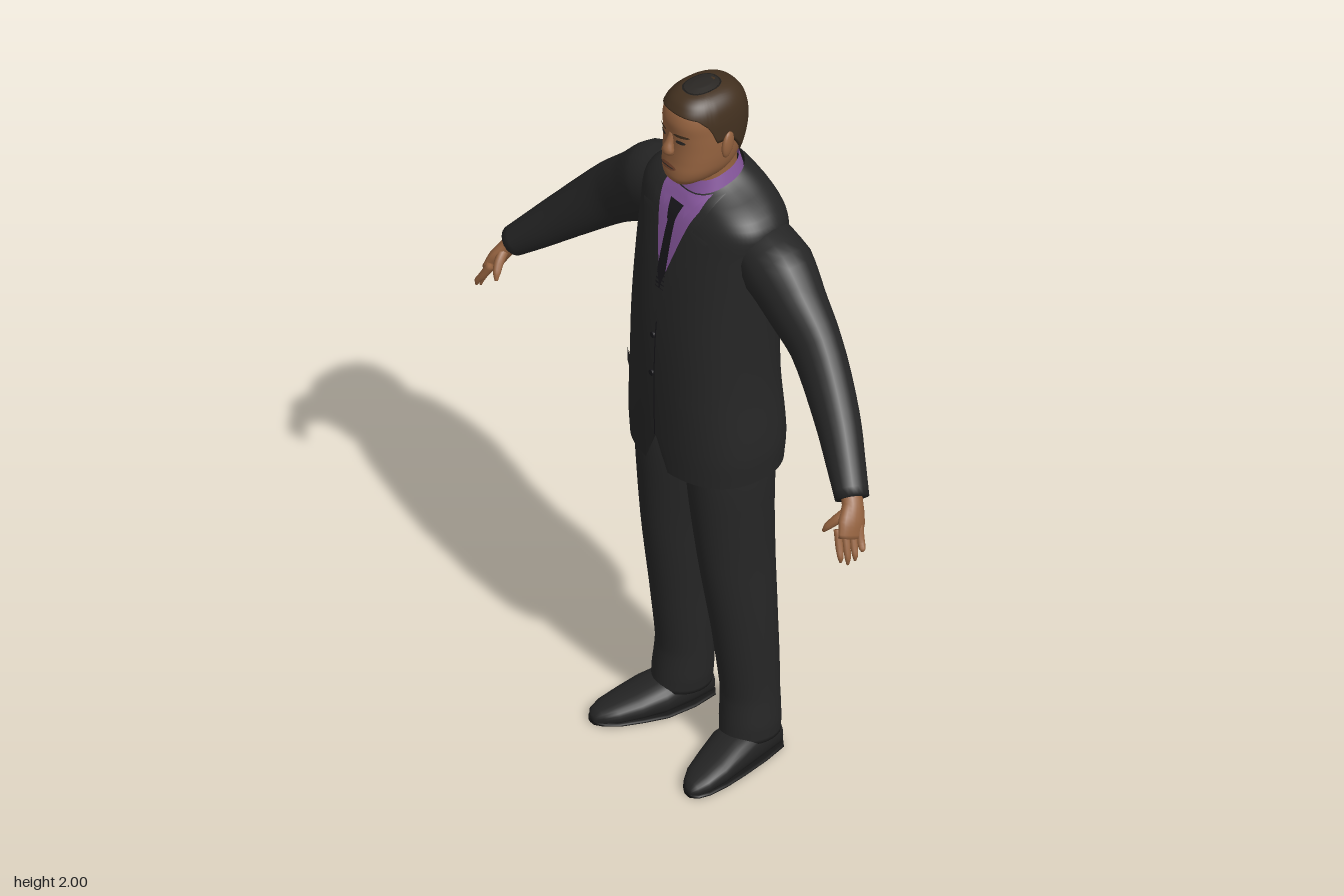
import * as THREE from 'three';

const mat = (name, color, side = THREE.FrontSide) => {
  const m = new THREE.MeshStandardMaterial({ color, side });
  m.name = name;
  return m;
};

// Closed loft through rings of points, optionally capped at both ends
function loft(rings, caps = true) {
  const n = rings[0].length, pos = [], idx = [];
  rings.forEach(r => r.forEach(p => pos.push(p.x, p.y, p.z)));
  for (let i = 0; i < rings.length - 1; i++) for (let j = 0; j < n; j++) {
    const k = (j + 1) % n, a = i * n + j, b = i * n + k;
    idx.push(a, b, a + n, b, b + n, a + n);
  }
  if (caps) [0, rings.length - 1].forEach(i => {
    const c = new THREE.Vector3(), ci = pos.length / 3;
    rings[i].forEach(p => c.addScaledVector(p, 1 / n));
    pos.push(c.x, c.y, c.z);
    for (let j = 0; j < n; j++) {
      const a = i * n + j, b = i * n + (j + 1) % n;
      i ? idx.push(a, b, ci) : idx.push(b, a, ci);
    }
  });
  return build(pos, idx);
}

function build(pos, idx) {
  const g = new THREE.BufferGeometry();
  g.setAttribute('position', new THREE.Float32BufferAttribute(pos, 3));
  g.setIndex(idx);
  g.computeVertexNormals();
  return g;
}

// Limb along rows of [x, y, z, radius across, radius toward z]
function limb(rows, s = 1, seg = 20, steps = 4) {
  const path = new THREE.CatmullRomCurve3(rows.map(r => new THREE.Vector3(r[0] * s, r[1], r[2])));
  const count = (rows.length - 1) * steps, rings = [];
  for (let i = 0; i <= count; i++) {
    const u = i / count, f = u * (rows.length - 1), k = Math.min(Math.floor(f), rows.length - 2);
    const c = path.getPoint(u), t = path.getTangent(u);
    const b = new THREE.Vector3(0, 0, 1).addScaledVector(t, -t.z).normalize();
    const nrm = new THREE.Vector3().crossVectors(b, t);
    const r1 = THREE.MathUtils.lerp(rows[k][3], rows[k + 1][3], f - k);
    const r2 = THREE.MathUtils.lerp(rows[k][4], rows[k + 1][4], f - k);
    rings.push(Array.from({ length: seg }, (_, j) => {
      const a = j / seg * Math.PI * 2;
      return c.clone().addScaledVector(nrm, r1 * Math.cos(a)).addScaledVector(b, r2 * Math.sin(a));
    }));
  }
  return loft(rings);
}

// Smooth lookup in a table of rows ordered from high y to low y
function sample(rows, y) {
  const last = rows.length - 1;
  let i = 0;
  while (i < last - 1 && y < rows[i + 1][0]) i++;
  const h = rows[i + 1][0] - rows[i][0], t = THREE.MathUtils.clamp((y - rows[i][0]) / h, 0, 1);
  const slope = (k, c) => {
    const a = rows[Math.max(k - 1, 0)], b = rows[Math.min(k + 1, last)];
    return (b[c] - a[c]) / (b[0] - a[0]);
  };
  return rows[i].map((p, c) => {
    const q = rows[i + 1][c], t2 = t * t, t3 = t2 * t;
    return p * (2 * t3 - 3 * t2 + 1) + q * (3 * t2 - 2 * t3)
      + h * (slope(i, c) * (t3 - 2 * t2 + t) + slope(i + 1, c) * (t3 - t2));
  });
}

// Point on a cross-section [y, half width, front z, back z, tilt]
const E = 0.85, pw = v => Math.sign(v) * Math.abs(v) ** E;
function at([y, w, zf, zb, tilt], a, off = 0) {
  const s = Math.sin(a);
  return new THREE.Vector3((w + off) * pw(Math.cos(a)), y - tilt * s,
    (zf + zb) / 2 + ((zf - zb) / 2 + off) * pw(s));
}
const ringOf = (n, fn) => Array.from({ length: n }, (_, j) => fn(j / n * Math.PI * 2));
const bodyLoft = (rows, y0, y1, steps, off = 0, caps = true, seg = 64) => loft(
  Array.from({ length: steps + 1 }, (_, i) => {
    const row = sample(rows, y0 + (y1 - y0) * i / steps);
    return ringOf(seg, a => at(row, a, off));
  }), caps);

// Thin patch lying on the front of a body; edges(y) gives its two x limits
function patch(rows, y0, y1, edges, off, s = 1, nu = 10, nv = 16) {
  const pos = [], idx = [];
  for (let i = 0; i <= nv; i++) {
    const y = y0 + (y1 - y0) * i / nv, row = sample(rows, y);
    const [l, r] = edges(y).map(x => x * s).sort((a, b) => a - b);
    for (let j = 0; j <= nu; j++) {
      const x = l + (r - l) * j / nu, c = THREE.MathUtils.clamp(x / (row[1] + off), -1, 1);
      const p = at(row, Math.acos(Math.sign(c) * Math.abs(c) ** (1 / E)), off);
      pos.push(p.x, p.y, p.z);
      const k = i * (nu + 1) + j;
      if (i < nv && j < nu) idx.push(k, k + 1, k + nu + 1, k + 1, k + nu + 2, k + nu + 1);
    }
  }
  return build(pos, idx);
}

const TORSO = [
  [1.73, .082, .045, -.112, .03], [1.715, .105, .05, -.13, .022], [1.685, .17, .06, -.155, .01],
  [1.64, .212, .078, -.178, 0], [1.57, .212, .097, -.19, 0], [1.45, .204, .12, -.186, 0],
  [1.3, .199, .137, -.176, 0], [1.15, .2, .142, -.176, 0], [.97, .213, .14, -.187, 0], [.888, .208, .137, -.182, 0]];
const HEAD = [
  [1.997, .012, .005, -.035, 0], [1.988, .045, .052, -.077, 0], [1.965, .069, .08, -.105, 0],
  [1.93, .08, .094, -.119, 0], [1.89, .083, .092, -.123, 0], [1.85, .083, .091, -.117, 0],
  [1.81, .08, .094, -.104, 0], [1.78, .073, .098, -.088, 0], [1.755, .058, .096, -.07, 0], [1.735, .036, .08, -.045, 0]];
// Hairline height from the back (-1) to the front (1) of the head
const HAIRLINE = [[1, 1.955], [.6, 1.945], [.35, 1.92], [.2, 1.87], [-.1, 1.87], [-.4, 1.83], [-.7, 1.797], [-1, 1.79]];

export function createModel() {
  const model = new THREE.Group();
  const suit = mat('suit black', 0x262626, THREE.DoubleSide), shirt = mat('shirt purple', 0x84559a, THREE.DoubleSide);
  const tie = mat('tie black', 0x18171b), skin = mat('skin brown', 0x94623f), hair = mat('hair brown', 0x42301f);
  const dark = mat('dark grey', 0x2a2724), shoe = mat('shoe black', 0x232323), sole = mat('sole black', 0x141414);
  const lip = mat('lip brown', 0x78472f);
  const add = (name, geo, m, parent = model) => {
    const mesh = new THREE.Mesh(geo, m);
    mesh.name = name;
    parent.add(mesh);
    return mesh;
  };

  // Jacket with a cutaway at the front of the hem
  const jacket = bodyLoft(TORSO, 1.73, .888, 56, 0, false, 80);
  const p = jacket.attributes.position;
  for (let i = 0; i < p.count; i++)
    if (p.getZ(i) > .05) p.setY(i, Math.max(p.getY(i), .985 - Math.abs(p.getX(i)) * 2.3));
  jacket.computeVertexNormals();
  add('jacket', jacket, suit);

  // Shirt front, collar and tie
  const vee = y => Math.max(.003, Math.min(.074, (y - 1.43) * .29));
  add('shirtFront', patch(TORSO, 1.43, 1.728, y => [-vee(y), vee(y)], .003, 1, 16, 24), shirt);
  add('shirtCollar', bodyLoft([[1.757, .067, .032, -.1, .026], [1.715, .08, .047, -.11, .026]],
    1.757, 1.715, 3, 0, false), shirt);
  add('tieBlade', patch(TORSO, 1.43, 1.64, y => [-.012 - (1.64 - y) * .02, .012 + (1.64 - y) * .02], .006), tie);
  add('tieKnot', patch(TORSO, 1.62, 1.68, y => [-.013 - (y - 1.62) * .2, .013 + (y - 1.62) * .2], .009), tie);
  for (const s of [1, -1]) {
    add('collarWing', patch(TORSO, 1.645, 1.722, y => [.022 + (1.722 - y) * .2, .068 - (1.722 - y) * .38], .008, s), shirt);
    add('lapel', patch(TORSO, 1.33, 1.722, y => {
      const inner = y < 1.43 ? .003 : vee(y);
      return [inner, inner + (y > 1.62 ? .022 : .075 * (y - 1.33) / .29)];
    }, .006, s, 8, 40), suit);
    add('pocketFlap', patch(TORSO, 1.115, 1.15, () => [.09, .165], .005, s), suit);
  }
  add('frontEdge', patch(TORSO, .985, 1.33, () => [-.002, .002], .002, 1, 2), tie);
  for (const y of [1.285, 1.17]) {
    const button = add('button', new THREE.CylinderGeometry(.008, .008, .006, 16), tie);
    button.rotation.x = Math.PI / 2;
    button.position.set(-.01, y, sample(TORSO, y)[2] + .002);
  }

  // Head, neck and hair
  const head = new THREE.Group();
  head.name = 'head';
  model.add(head);
  add('skull', bodyLoft(HEAD, 1.997, 1.735, 40), skin, head);
  add('neck', limb([[0, 1.83, -.035, .062, .062], [0, 1.76, -.036, .062, .063], [0, 1.66, -.04, .07, .066]]), skin, head);
  const line = a => {
    const f = Math.sin(a), k = Math.max(1, HAIRLINE.findIndex(r => r[0] <= f + 1e-9));
    const [f0, y0] = HAIRLINE[k - 1], [f1, y1] = HAIRLINE[k];
    return y0 + (y1 - y0) * (f - f0) / (f1 - f0);
  };
  add('hair', loft(Array.from({ length: 25 }, (_, i) => ringOf(64, a =>
    at(sample(HEAD, 1.997 + (line(a) - 1.997) * (i / 24) ** 1.5), a, .004).add(new THREE.Vector3(0, .002, 0))))), hair, head);
  const crown = add('crownPatch', bodyLoft(HEAD, 1.997, 1.992, 5, .004), dark, head);
  crown.position.set(0, .0035, .008);

  // Face
  add('nose', limb([[0, 1.893, .086, .008, .006], [0, 1.866, .094, .011, .011],
    [0, 1.845, .1, .018, .015], [0, 1.832, .093, .013, .008]], 1, 16), skin, head);
  const lens = (x0, x1, y0, y1) => y => {
    const k = Math.sqrt(Math.max(0, 1 - ((y - (y0 + y1) / 2) / ((y1 - y0) / 2)) ** 2));
    return [(x0 + x1) / 2 - k * (x1 - x0) / 2, (x0 + x1) / 2 + k * (x1 - x0) / 2];
  };
  for (const s of [1, -1]) {
    add('eye', patch(HEAD, 1.872, 1.883, lens(.02, .046, 1.872, 1.883), .002, s), dark, head);
    add('eyebrow', patch(HEAD, 1.893, 1.902, lens(.014, .056, 1.893, 1.902), .003, s), hair, head);
    const ear = add('ear', new THREE.SphereGeometry(1, 16, 12), skin, head);
    ear.scale.set(.011, .038, .021);
    ear.position.set(.085 * s, 1.855, -.02);
    ear.rotation.set(-.15, s * .3, 0);
  }
  add('mouth', patch(HEAD, 1.787, 1.805, lens(-.027, .027, 1.787, 1.805), .005), lip, head);
  add('mouthLine', patch(HEAD, 1.795, 1.798, lens(-.025, .025, 1.795, 1.798), .007), dark, head);

  add('trouserSeat', limb([[0, 1.02, -.02, .16, .125], [0, .93, -.02, .17, .122], [0, .86, -.025, .09, .09]]), suit);
  for (const s of [1, -1]) {
    // Sleeve and hand
    add('sleeve', limb([[.12, 1.6, -.065, .06, .08], [.235, 1.54, -.06, .1, .09], [.31, 1.477, -.056, .09, .076],
      [.4, 1.405, -.048, .08, .062], [.53, 1.28, -.01, .062, .056], [.61, 1.2, .025, .05, .049],
      [.668, 1.143, .052, .04, .044]], s), suit);
    const hand = new THREE.Group();
    hand.name = 'hand';
    model.add(hand);
    add('palm', limb([[.65, 1.16, .045, .024, .028], [.675, 1.13, .056, .022, .028], [.695, 1.095, .075, .019, .038],
      [.708, 1.06, .09, .013, .036]], s, 16), skin, hand);
    for (let i = 0; i < 4; i++) {
      const z = .064 + i * .018, drop = [.03, .008, 0, .012][i], x = .716 - i * .006;
      add('finger', limb([[x - .012, 1.085, z - .006, .011, .01], [x + .008, 1.045, z + .004, .01, .01],
        [x + .02, 1.018 + drop * .6, z + .01, .008, .008], [x + .022, 1 + drop, z + .012, .003, .003]], s, 10), skin, hand);
    }
    add('thumb', limb([[.68, 1.125, .07, .013, .014], [.668, 1.1, .1, .013, .013],
      [.655, 1.08, .118, .01, .01], [.647, 1.064, .126, .004, .004]], s, 10), skin, hand);

    // Trouser leg
    add('trouserLeg', limb([[.1, 1, -.02, .095, .12], [.102, .85, -.016, .099, .117], [.113, .62, -.025, .08, .105],
      [.123, .4, -.042, .075, .088], [.128, .2, -.055, .071, .076], [.133, .11, -.052, .074, .079],
      [.135, .065, -.05, .07, .08]], s, 28), suit);

    // Shoe with a turned-out toe
    const stations = [[.134, -.132, .026, .06], [.135, -.118, .046, .085], [.14, -.05, .06, .1], [.15, .03, .065, .087],
      [.165, .09, .058, .066], [.178, .145, .046, .051], [.186, .175, .03, .04], [.189, .188, .012, .026]];
    const shoeLoft = (grow, height) => loft(stations.map(([x, z, w, h]) => ringOf(24, a =>
      new THREE.Vector3(x * s + (w + grow) * pw(Math.cos(a)), (height || h) * (.5 + .5 * pw(Math.sin(a))), z))));
    add('shoe', shoeLoft(0), shoe);
    add('shoeSole', shoeLoft(.003, .014), sole);
  }
  return model;
}
